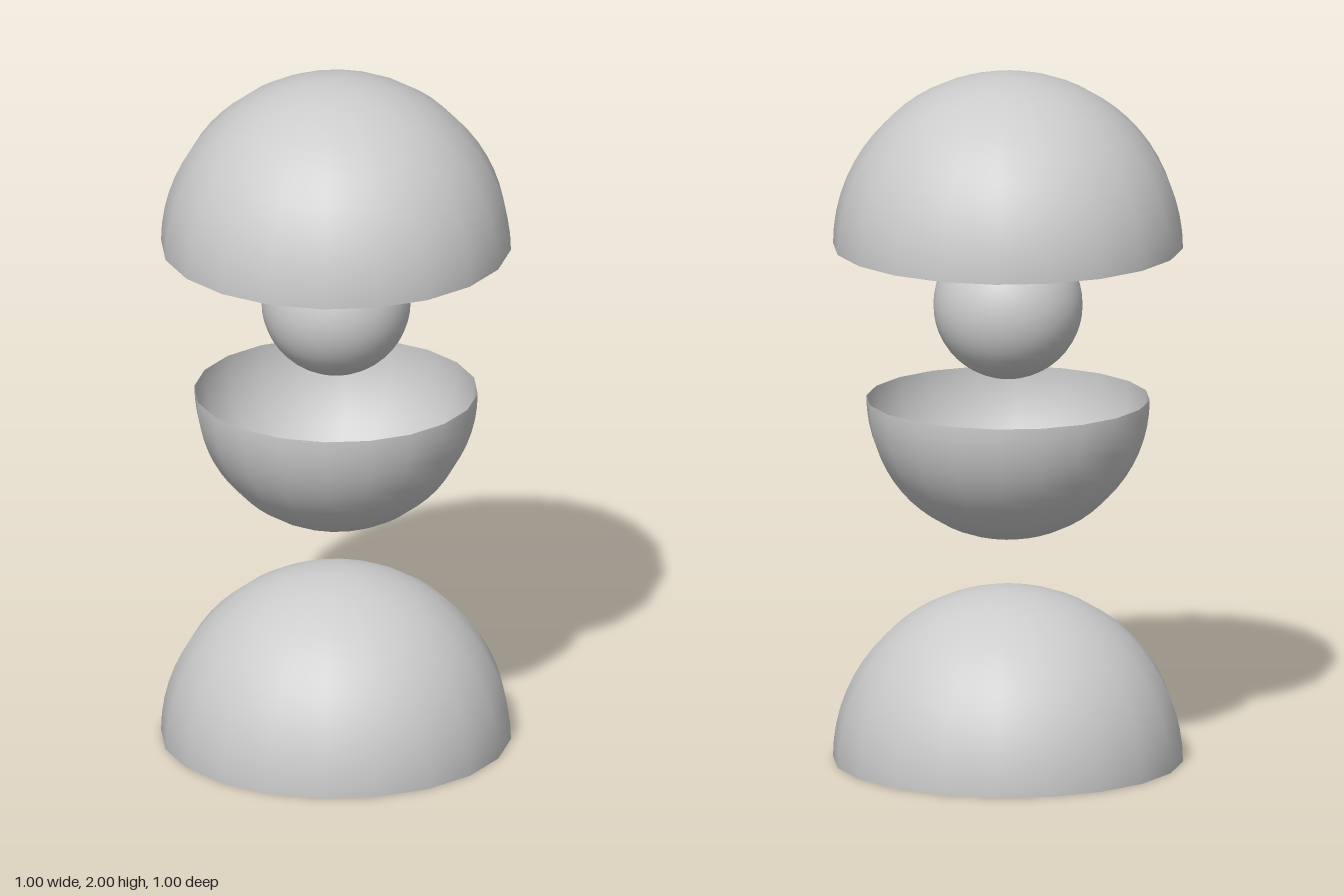
import * as THREE from 'three';

const shellMaterial = new THREE.MeshStandardMaterial({ color: 0xcccccc, side: THREE.DoubleSide });
const solidMaterial = new THREE.MeshStandardMaterial({ color: 0xcccccc });

// Open half sphere whose rim lies at rimY; opens downward unless it is a bowl
function halfShell(name, radius, rimY, isBowl = false) {
  const geometry = new THREE.SphereGeometry(
    radius, 20, 16, 0, Math.PI * 2, isBowl ? Math.PI / 2 : 0, Math.PI / 2);
  const mesh = new THREE.Mesh(geometry, shellMaterial);
  mesh.name = name;
  mesh.position.y = rimY;
  return mesh;
}

export function createModel() {
  const model = new THREE.Group();
  model.name = 'stackedHalfSpheres';

  // Floating ball between the top dome and the bowl
  const ball = new THREE.Mesh(new THREE.SphereGeometry(0.213, 40, 24), solidMaterial);
  ball.name = 'ball';
  ball.position.y = 1.328;

  model.add(
    halfShell('baseDome', 0.5, 0),
    halfShell('bowl', 0.405, 1.055, true),
    ball,
    halfShell('topDome', 0.5, 1.5),
  );
  return model;
}
